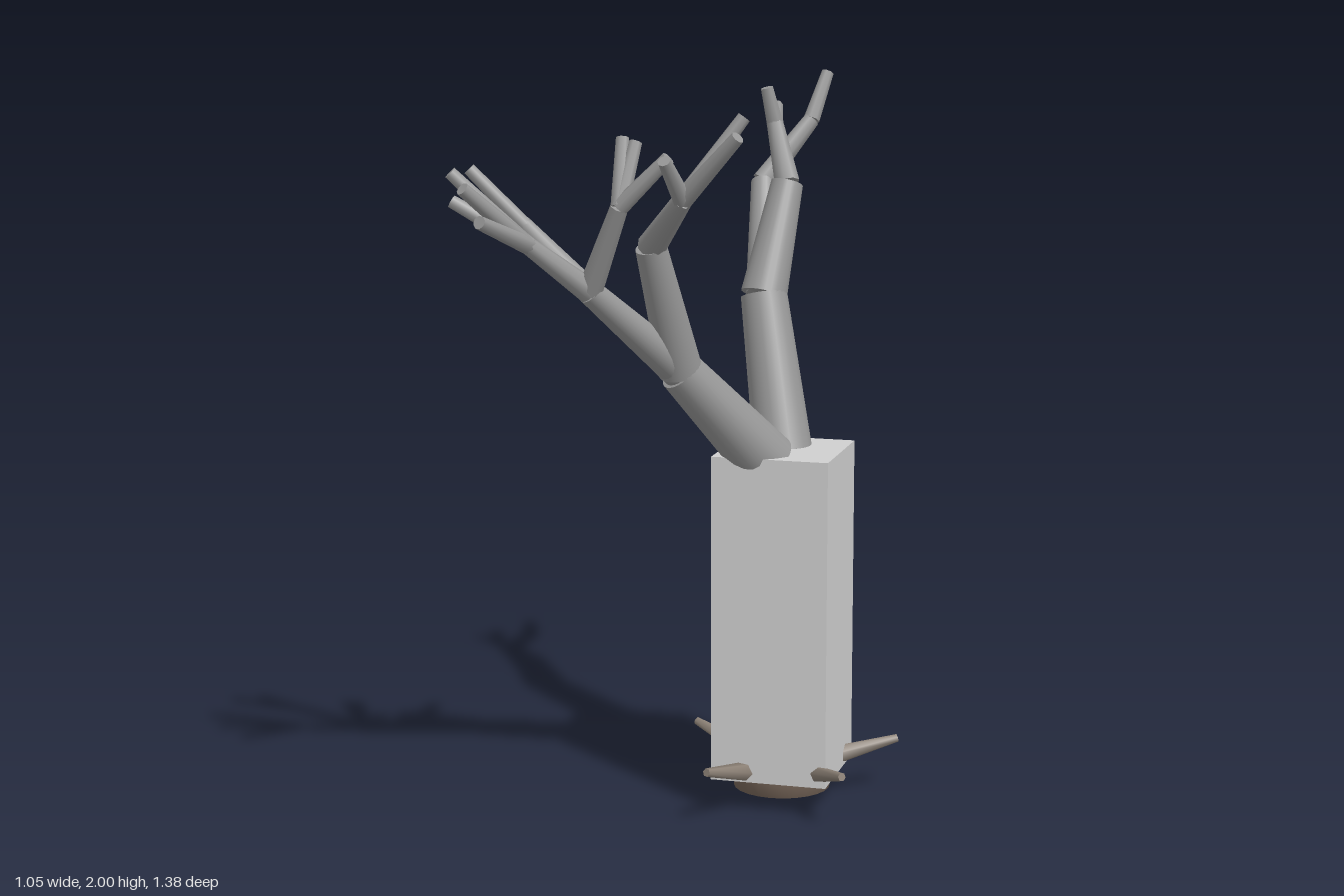
import * as THREE from 'three';

const mat = (name, color) => {
  const m = new THREE.MeshStandardMaterial({ color });
  m.name = name;
  return m;
};

export function createModel() {
  const group = new THREE.Group();
  const stone = mat('pale grey', 0xd0d0d0);
  const bark = mat('bark grey', 0x979797);
  const rootBrown = mat('root brown', 0x8b8075);
  const rimBrown = mat('rim brown', 0x78675a);

  const add = (name, geo, material, x = 0, y = 0, z = 0) => {
    const mesh = new THREE.Mesh(geo, material);
    mesh.name = name;
    mesh.position.set(x, y, z);
    group.add(mesh);
    return mesh;
  };

  // Tapered limb between two points
  const limb = (name, a, b, ra, rb, sides, material) => {
    const p = new THREE.Vector3(...a), q = new THREE.Vector3(...b);
    const d = q.clone().sub(p);
    const mesh = add(name, new THREE.CylinderGeometry(rb, ra, d.length(), sides), material);
    mesh.position.copy(p).add(q).multiplyScalar(0.5);
    mesh.quaternion.setFromUnitVectors(new THREE.Vector3(0, 1, 0), d.normalize());
  };

  // Square trunk block
  const cx = 0.222, cz = -0.108;
  add('trunk', new THREE.BoxGeometry(0.326, 0.915, 0.326), stone, cx, 0.5425, cz);

  // Branch tree: each node is [end point, end radius, children]
  const tip = (...p) => [p, 0.018, []];
  const grow = (start, r, [end, endR, children]) => {
    const name = endR > 0.04 ? 'branch' : children.length ? 'smallBranch' : 'twig';
    limb(name, start, end, r, endR, endR > 0.03 ? 24 : 8, bark);
    children.forEach((c) => grow(end, Math.min(endR, c[1] * 1.5), c));
  };

  const frontBranch = [[0, 1.25, 0.15], 0.06, [
    [[-0.18, 1.49, 0.38], 0.034, [
      [[-0.08, 1.72, 0.44], 0.024, [
        tip(-0.095, 1.89, 0.36), tip(-0.06, 1.88, 0.36), tip(0.05, 1.85, 0.435)]],
      [[-0.37, 1.65, 0.335], 0.022, [
        tip(-0.49, 1.72, 0.285), tip(-0.51, 1.8, 0.375)]],
      [[-0.31, 1.62, 0.49], 0.024, [
        tip(-0.51, 1.73, 0.51), tip(-0.495, 1.81, 0.56),
        tip(-0.43, 1.78, 0.65), tip(-0.375, 1.7, 0.68)]],
    ]],
    [[-0.04, 1.6, 0.29], 0.042, [
      [[0.08, 1.74, 0.41], 0.026, [
        tip(0.225, 1.95, 0.345), tip(0.24, 1.91, 0.465), tip(0.06, 1.85, 0.51)]],
    ]],
  ]];
  const backBranch = [[0.12, 1.4, -0.28], 0.065, [
    [[0.155, 1.7, -0.4], 0.045, [
      [[0.1, 1.86, -0.475], 0.024, [
        tip(0.08, 1.96, -0.46), tip(0.08, 1.9, -0.575)]],
    ]],
    [[0.06, 1.69, -0.5], 0.034, [
      [[0.175, 1.86, -0.605], 0.024, [tip(0.205, 1.99, -0.675)]],
    ]],
  ]];
  grow([0.19, 0.975, -0.04], 0.085, frontBranch);
  grow([0.205, 0.975, -0.17], 0.082, backBranch);

  // Five upturned roots poking out around the foot
  for (const deg of [-27, 47, 114, 187 + 22, 250]) {
    const a = THREE.MathUtils.degToRad(deg);
    const at = (r, y) => [cx + r * Math.cos(a), y, cz + r * Math.sin(a)];
    limb('root', at(0.13, 0.105), at(0.335, 0.15), 0.03, 0.012, 6, rootBrown);
  }

  // Hollow rim below the trunk
  const rim = [[0.115, 0.085], [0.115, 0.036], [0.135, 0.036], [0.137, 0.085]];
  add('footRim', new THREE.LatheGeometry(rim.map(([r, y]) => new THREE.Vector2(r, y)), 24),
    rimBrown, cx, 0, cz);
  const point = add('tapRoot', new THREE.ConeGeometry(0.055, 0.085, 8), rimBrown, cx, 0.0425, cz);
  point.rotation.x = Math.PI;

  // Spokes inside the rim
  for (let i = 0; i < 5; i++) {
    const a = (i / 5) * Math.PI * 2 + 0.4;
    limb('spoke', [cx, 0.05, cz], [cx + 0.12 * Math.cos(a), 0.06, cz + 0.12 * Math.sin(a)],
      0.014, 0.01, 6, rimBrown);
  }
  return group;
}
